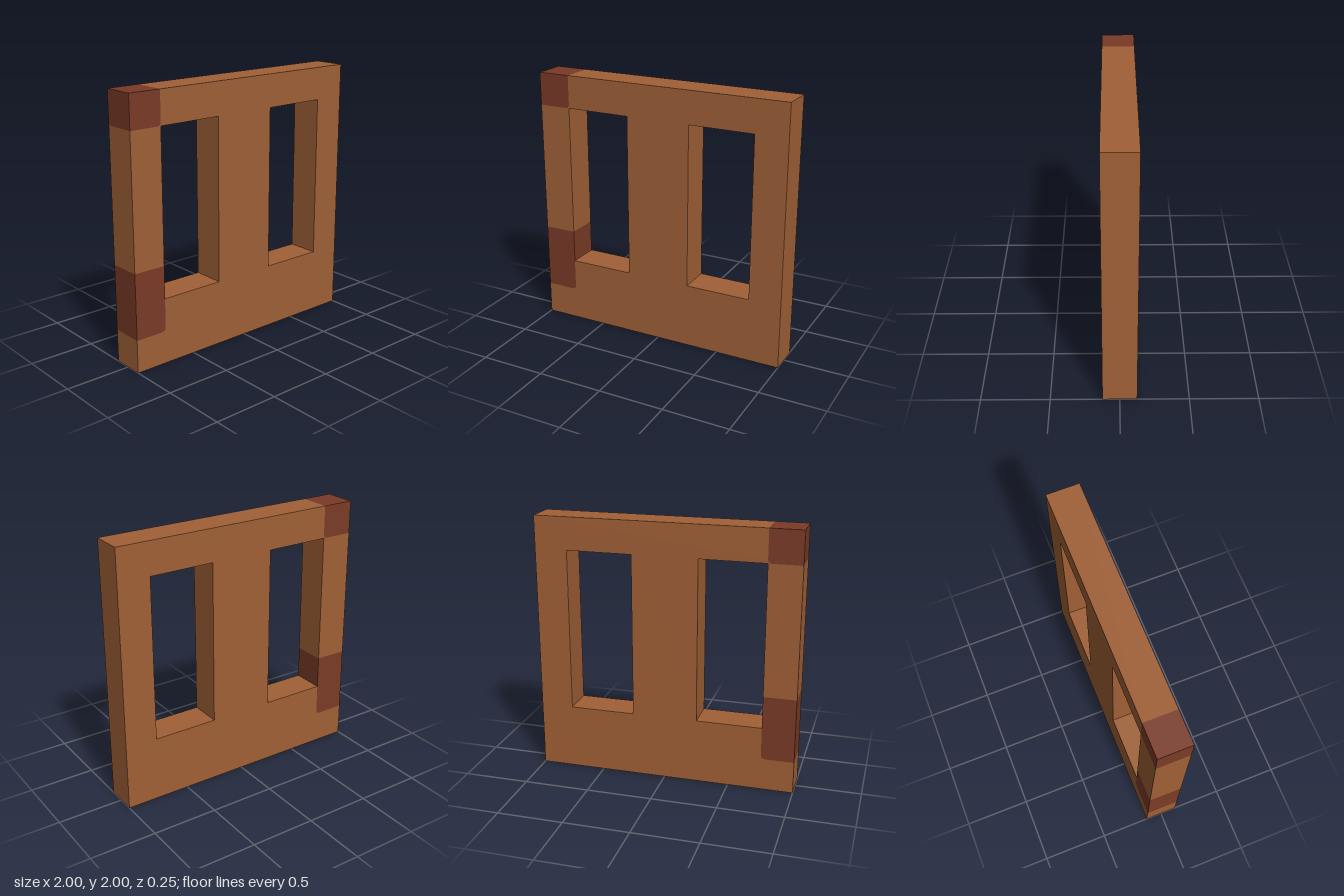
import * as THREE from 'three';

const DEPTH = 0.25;
const R = 0.03; // rounding of the hinge corners

function slab(name, shape, material) {
  const geometry = new THREE.ExtrudeGeometry(shape, { depth: DEPTH, bevelEnabled: false, curveSegments: 4 });
  geometry.translate(0, 0, -DEPTH / 2);
  const mesh = new THREE.Mesh(geometry, material);
  mesh.name = name;
  return mesh;
}

// Hinge block on the right edge, with its lower inner corner rounded
function hingeShape(bottom, top) {
  const s = new THREE.Shape();
  s.moveTo(-1, bottom);
  s.lineTo(-0.75 - R, bottom);
  s.quadraticCurveTo(-0.75, bottom, -0.75, bottom + R);
  s.lineTo(-0.75, top);
  s.lineTo(-1, top);
  s.closePath();
  return s;
}

export function createModel() {
  const wood = new THREE.MeshStandardMaterial({ color: 0xa06036 });
  wood.name = 'brown wood';
  const iron = new THREE.MeshStandardMaterial({ color: 0x7a3b26 });
  iron.name = 'dark red brown hinge';

  const door = new THREE.Group();
  door.name = 'door';

  // Door panel, cut out around both hinges and the hinge-side window
  const panel = new THREE.Shape();
  panel.moveTo(-1, 0);
  panel.lineTo(1, 0);
  panel.lineTo(1, 2);
  panel.lineTo(-0.75, 2);
  panel.lineTo(-0.75, 1.75 + R);
  panel.quadraticCurveTo(-0.75, 1.75, -0.75 - R, 1.75);
  panel.lineTo(-0.25, 1.75);
  panel.lineTo(-0.25, 0.5);
  panel.lineTo(-0.75, 0.5);
  panel.lineTo(-0.75, 0.25 + R);
  panel.quadraticCurveTo(-0.75, 0.25, -0.75 - R, 0.25);
  panel.lineTo(-1, 0.25);
  panel.closePath();

  // Second window
  const opening = new THREE.Path();
  opening.moveTo(0.25, 0.5);
  opening.lineTo(0.25, 1.75);
  opening.lineTo(0.75, 1.75);
  opening.lineTo(0.75, 0.5);
  opening.closePath();
  panel.holes.push(opening);
  door.add(slab('doorPanel', panel, wood));

  // Upright between the hinges
  const stile = new THREE.Mesh(new THREE.BoxGeometry(0.25, 1, DEPTH), wood);
  stile.name = 'hingeStile';
  stile.position.set(-0.875, 1.25, 0);
  door.add(stile);

  door.add(slab('lowerHinge', hingeShape(0.25, 0.75), iron));
  door.add(slab('upperHinge', hingeShape(1.75, 2), iron));
  return door;
}
